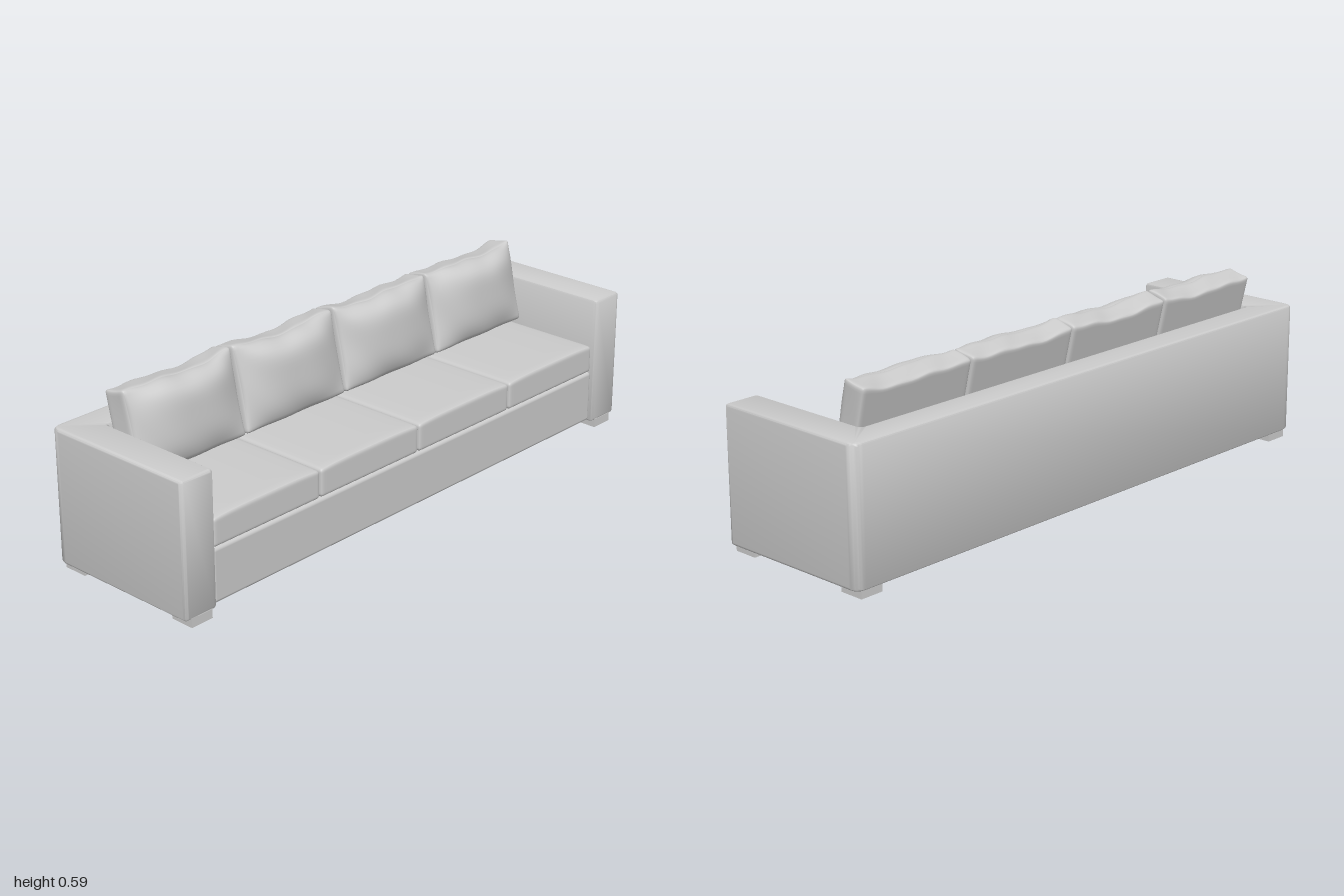
import * as THREE from 'three';
import { mergeVertices, toCreasedNormals } from 'three/addons/utils/BufferGeometryUtils.js';
import { RoundedBoxGeometry } from 'three/addons/geometries/RoundedBoxGeometry.js';

const fabric = new THREE.MeshStandardMaterial({ color: 0xcccccc });

function addMesh(parent, name, geometry, x = 0, y = 0, z = 0) {
  const mesh = new THREE.Mesh(geometry, fabric);
  mesh.name = name;
  mesh.position.set(x, y, z);
  parent.add(mesh);
  return mesh;
}

// Finely divided box with rounded edges; reshape(p, u, v, w) then moves each point (u, v, w in -1..1)
function softBox(width, height, depth, radius, reshape) {
  const box = new THREE.BoxGeometry(2, 2, 2, 32, 24, 12);
  box.deleteAttribute('normal');
  box.deleteAttribute('uv');
  const geometry = mergeVertices(box);
  const pos = geometry.attributes.position;
  const half = new THREE.Vector3(width / 2, height / 2, depth / 2);
  const inner = half.clone().subScalar(radius);
  const p = new THREE.Vector3(), core = new THREE.Vector3();
  for (let i = 0; i < pos.count; i++) {
    p.fromBufferAttribute(pos, i);
    // crowd the points toward the edges
    p.set(...p.toArray().map((c) => Math.sin(c * Math.PI / 2)));
    const [u, v, w] = p.toArray();
    p.multiply(half);
    core.copy(p).clamp(inner.clone().negate(), inner);
    p.sub(core).setLength(radius).add(core);
    reshape(p, u, v, w);
    pos.setXYZ(i, p.x, p.y, p.z);
  }
  geometry.computeVertexNormals();
  return geometry;
}

// U-shaped shell: both arms and the back in one upholstered piece
function shellGeometry() {
  const corners = [
    [-1, -0.275, 0.013], [-0.877, -0.275, 0.013], [-0.877, 0.17, 0.012], [0.877, 0.17, 0.012],
    [0.877, -0.275, 0.013], [1, -0.275, 0.013], [1, 0.275, 0.035], [-1, 0.275, 0.035],
  ].map(([x, y, r]) => ({ p: new THREE.Vector2(x, y), r }));
  const shape = new THREE.Shape();
  corners.forEach(({ p, r }, i) => {
    const before = corners[(i + 7) % 8].p, after = corners[(i + 1) % 8].p;
    const a = before.clone().sub(p).setLength(r).add(p);
    const b = after.clone().sub(p).setLength(r).add(p);
    if (i === 0) shape.moveTo(a.x, a.y); else shape.lineTo(a.x, a.y);
    shape.quadraticCurveTo(p.x, p.y, b.x, b.y);
  });
  shape.closePath();
  const bevel = 0.01;
  const geometry = new THREE.ExtrudeGeometry(shape, {
    depth: 0.437 - 2 * bevel, bevelThickness: bevel, bevelSize: bevel,
    bevelOffset: -bevel, bevelSegments: 4, curveSegments: 8,
  });
  geometry.rotateX(-Math.PI / 2).translate(0, 0.025 + bevel, 0);
  return toCreasedNormals(geometry, 0.7);
}

// Seat cushion with a slight crown
function seatGeometry() {
  return softBox(0.435, 0.093, 0.435, 0.012, (p, u, v) => {
    if (v > 0) p.y += 0.006 * v * (1 - u ** 4);
  });
}

// Back cushion: boxy rear, swollen front, sagging and rumpled upper edge
function backCushionGeometry(seed) {
  return softBox(0.434, 0.275, 0.084, 0.012, (p, u, v, w) => {
    const front = (w + 1) / 2, top = Math.max(0, v) ** 2;
    const edge = (1 - u * u) * (1 - v * v);
    const swell = (1 - Math.abs(u) ** 2.6) * (1 - v ** 4) * (0.9 + 0.35 * v);
    p.z += 0.053 * front * swell;
    // soft folds fanning across the front
    p.z += 0.003 * front * (1 - edge) * (1 - u ** 8) * Math.sin(u * 7 + v * 5 + seed * 2);
    // sag between the corners, with shallow ripples
    p.y -= top * (0.012 * (1 - u * u) + 0.004 * Math.sin(u * 4.5 + seed * 1.9)
      + 0.002 * Math.sin(u * 11 + w * 2 + seed));
    p.x -= u * 0.006 * (1 - v * v) * front;
  });
}

export function createModel() {
  const sofa = new THREE.Group();
  sofa.name = 'sofa';

  addMesh(sofa, 'armsAndBack', shellGeometry());
  addMesh(sofa, 'base', new RoundedBoxGeometry(1.757, 0.177, 0.5, 4, 0.012), 0, 0.1185, 0.014);

  // Four seat cushions, each with a leaning back cushion
  const pitch = 0.438;
  for (let i = 0; i < 4; i++) {
    const x = (i - 1.5) * pitch;
    addMesh(sofa, 'seatCushion', seatGeometry(), x, 0.2545, 0.0475);
    const back = addMesh(sofa, 'backCushion', backCushionGeometry(i), x, 0.446, -0.109);
    back.rotation.x = -0.227;
  }

  // Block feet under the arms
  for (const side of [-1, 1]) {
    for (const z of [0.234, -0.225]) {
      addMesh(sofa, 'foot', new THREE.BoxGeometry(0.08, 0.03, 0.082), side * 0.937, 0.015, z);
    }
  }
  return sofa;
}
